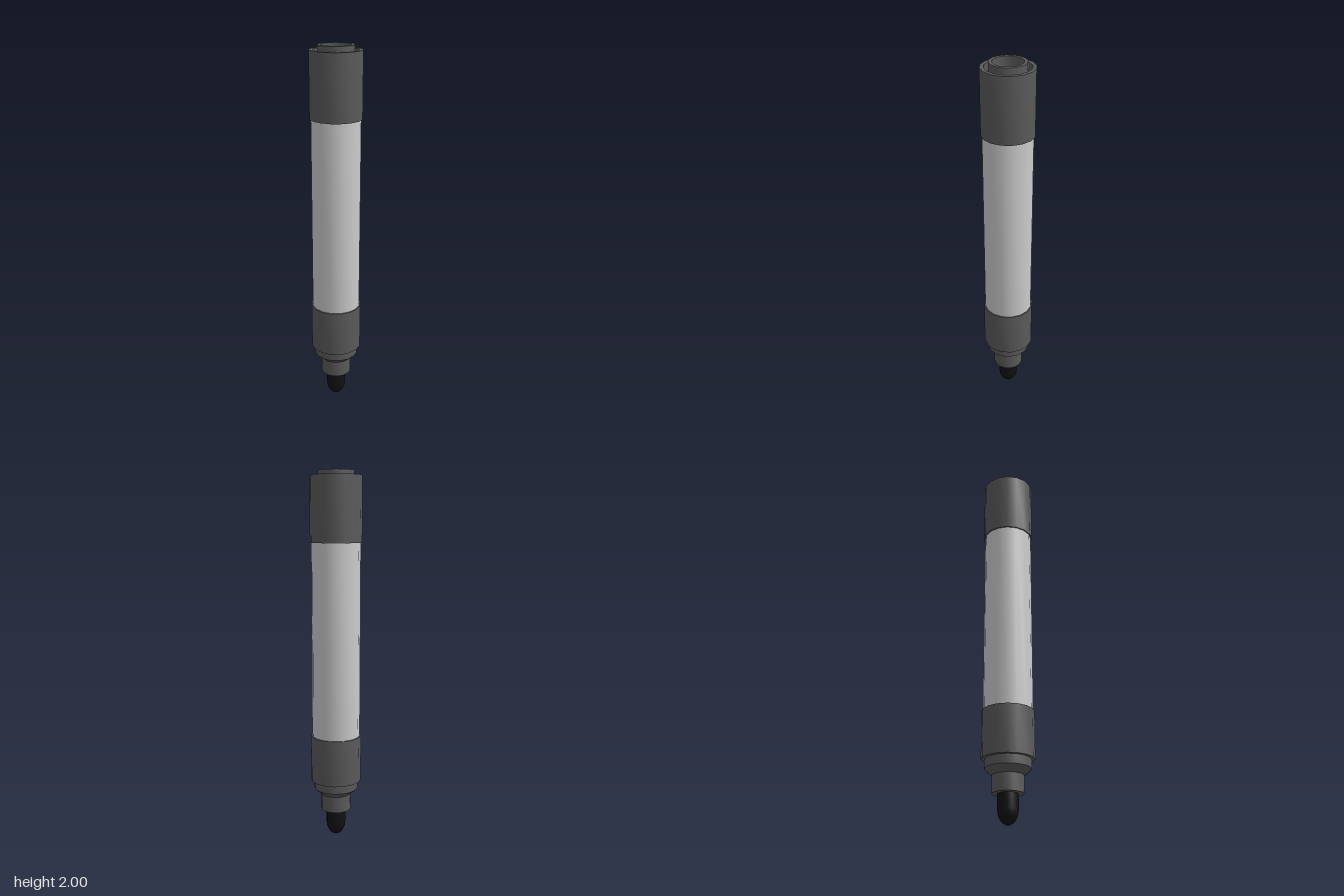
import * as THREE from 'three';
import { toCreasedNormals } from 'three/addons/utils/BufferGeometryUtils.js';

const SIDES = 16;

// Turned part: profile of [radius, y] points, listed upwards along the outside
function turned(name, color, profile) {
  const points = profile.map(([r, y]) => new THREE.Vector2(r, y));
  const geometry = toCreasedNormals(new THREE.LatheGeometry(points, SIDES), 0.6);
  const mesh = new THREE.Mesh(geometry, new THREE.MeshStandardMaterial({ color }));
  mesh.name = name;
  return mesh;
}

export function createModel() {
  const group = new THREE.Group();
  group.name = 'markerPen';
  const dark = 0x5a5a5a;

  // Rounded writing tip
  const dome = [];
  for (let i = 0; i <= 6; i++) {
    const a = (i / 6) * Math.PI / 2;
    dome.push([0.053 * Math.sin(a), 0.075 * (1 - Math.cos(a))]);
  }
  group.add(turned('nib', 0x111111, [...dome, [0.053, 0.16]]));

  // Narrow sleeve holding the nib
  group.add(turned('nibHolder', dark, [[0, 0.153], [0.082, 0.153], [0.082, 0.25]]));

  // Stepped shoulder tapering towards the nib
  group.add(turned('shoulder', dark, [[0, 0.235], [0.072, 0.235], [0.12, 0.277], [0.12, 0.34]]));

  // Lower collar
  group.add(turned('collar', dark, [[0, 0.325], [0.138, 0.325], [0.138, 0.58], [0, 0.58]]));

  // Barrel
  group.add(turned('barrel', 0xcccccc, [[0.131, 0.57], [0.131, 1.64]]));

  // End cap with a ring groove and a raised hollow plug
  group.add(turned('endCap', dark, [
    [0, 1.63], [0.138, 1.63], [0.138, 1.975], [0.118, 1.975], [0.118, 1.93],
    [0.096, 1.93], [0.096, 2], [0.078, 2], [0.078, 1.93], [0, 1.93],
  ]));

  return group;
}
